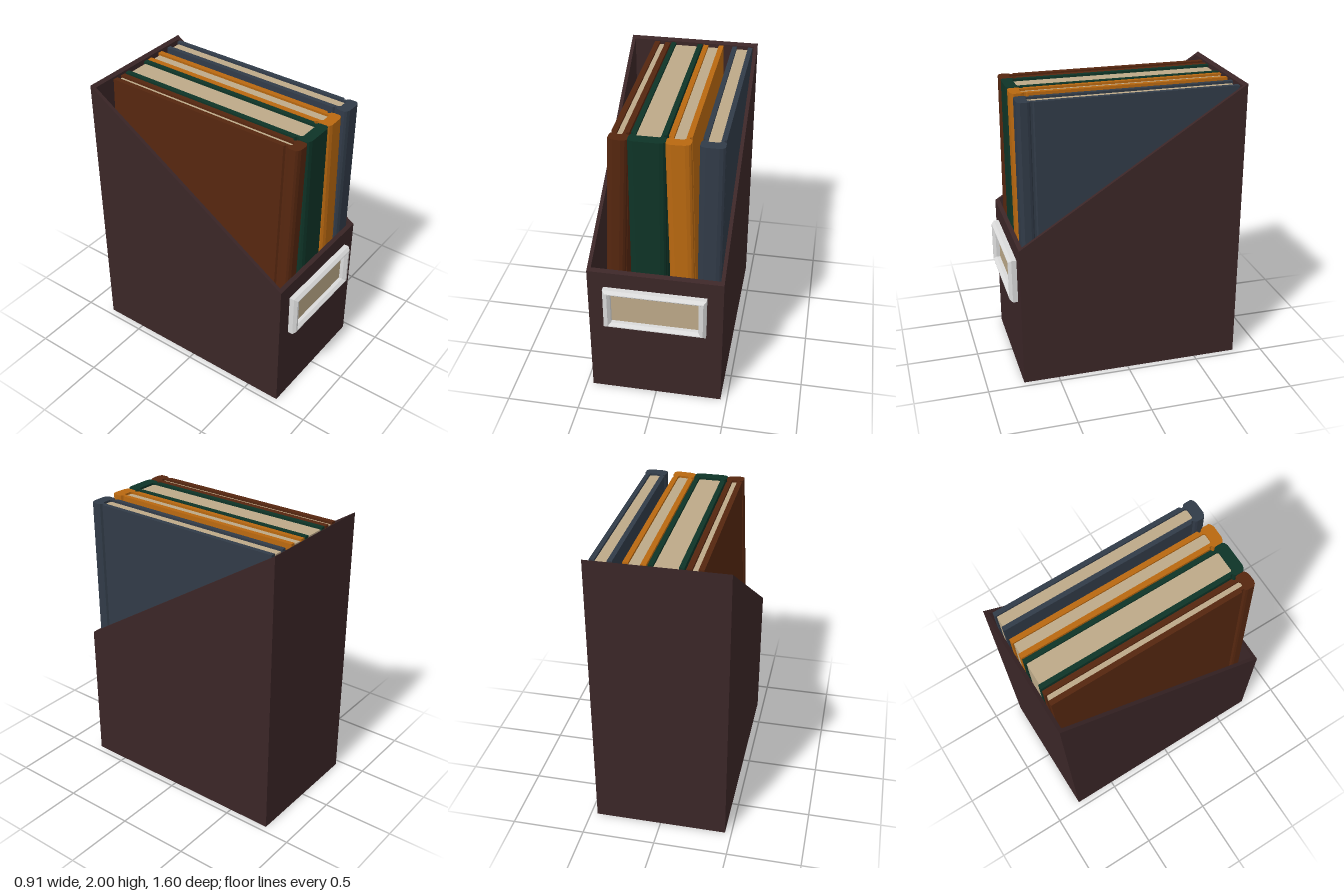
import * as THREE from 'three';

const mat = (name, color, side = THREE.FrontSide) => {
  const m = new THREE.MeshStandardMaterial({ color, side });
  m.name = name;
  return m;
};

const polygon = (points) => new THREE.Shape(points.map(([x, y]) => new THREE.Vector2(x, y)));

function mesh(name, geometry, material) {
  const m = new THREE.Mesh(geometry, material);
  m.name = name;
  return m;
}

// Extrudes a (z, y) profile across x from x0 to x1
function acrossX(points, x0, x1) {
  const g = new THREE.ExtrudeGeometry(polygon(points.map(([z, y]) => [-z, y])), { depth: x1 - x0, bevelEnabled: false });
  return g.rotateY(Math.PI / 2).translate(x0, 0, 0);
}

// Extrudes an (x, z) outline upward from y0 to y1
function upward(points, y0, y1) {
  const g = new THREE.ExtrudeGeometry(polygon(points.map(([x, z]) => [x, -z])), { depth: y1 - y0, bevelEnabled: false });
  return g.rotateX(-Math.PI / 2).translate(0, y0, 0);
}

function createHolder(wood) {
  const holder = new THREE.Group();
  holder.name = 'holder';
  const back = -0.8, front = 0.745, half = 0.455, t = 0.025;
  const slope = (z) => 1 + (front - z) / (front - back);

  // Slanted side walls
  const side = [[back, 0], [front, 0], [front, 1], [back, 2]];
  holder.add(mesh('rightWall', acrossX(side, -half, -half + t), wood));
  holder.add(mesh('leftWall', acrossX(side, half - t, half), wood));

  // Floor, front and back walls in one U profile
  const core = [
    [back, 0], [front, 0], [front, 1], [front - t, slope(front - t)],
    [front - t, t], [back + t, t], [back + t, slope(back + t)], [back, 2],
  ];
  holder.add(mesh('floorFrontBack', acrossX(core, -half + t, half - t), wood));
  return holder;
}

function createBook(name, cover, pages, { width, board, x, lean }) {
  const book = new THREE.Group();
  book.name = name;
  const height = 1.958, h = width / 2, s = h - 0.005, back = -0.755, inner = 0.64;

  // Half outline of the cover: board, hinge groove, rounded spine
  const outside = [
    [s, back], [s, 0.605], [s - 0.014, 0.613], [s - 0.014, 0.627], [s, 0.635],
    [h, 0.65], [h, 0.695], [h - 0.012, 0.707], [h - 0.035, 0.715],
  ];
  const inside = [[h - board - 0.01, inner], [h - board, inner - 0.01], [h - board, back]];
  const flip = (list) => list.map(([a, b]) => [-a, b]).reverse();
  const outline = [...outside, ...flip(outside), ...flip(inside), ...inside];
  book.add(mesh('cover', upward(outline, 0, height), cover));

  // Page block, slightly lower than the cover
  const p = h - board + 0.002;
  const block = [[-p, back + 0.01], [p, back + 0.01], [p, inner + 0.005], [-p, inner + 0.005]];
  book.add(mesh('pages', upward(block, 0.015, height - 0.015), pages));

  book.position.set(x, 0.027, 0);
  book.rotation.z = lean;
  return book;
}

function createLabel(metal, paper) {
  const label = new THREE.Group();
  label.name = 'label';
  const rect = (w, h) => [[-w, -h], [w, -h], [w, h], [-w, h]];
  const bevel = 0.018;

  // Bevelled frame with an opening
  const shape = polygon(rect(0.347 - bevel, 0.155 - bevel));
  shape.holes.push(new THREE.Path(rect(0.296 + bevel, 0.113 + bevel).reverse().map(([x, y]) => new THREE.Vector2(x, y))));
  const frame = new THREE.ExtrudeGeometry(shape, {
    depth: 0.035, bevelEnabled: true, bevelSize: bevel, bevelThickness: 0.02, bevelSegments: 1,
  });
  label.add(mesh('labelFrame', frame, metal));

  // Paper card behind the opening
  const card = mesh('labelCard', new THREE.BoxGeometry(0.61, 0.24, 0.008), paper);
  card.position.z = 0.005;
  label.add(card);

  label.position.set(0, 0.73, 0.745);
  return label;
}

export function createModel() {
  const model = new THREE.Group();
  model.name = 'magazineHolderWithBooks';

  const wood = mat('dark wood', 0x3b2627);
  const paper = mat('cream paper', 0xbda988);
  const metal = mat('silver metal', 0xdadada);
  const brown = mat('brown cover', 0x55260f);
  const green = mat('green cover', 0x0e3427);
  const orange = mat('orange cover', 0xb96810);
  const navy = mat('navy cover', 0x313b48);

  model.add(createHolder(wood));
  model.add(createLabel(metal, paper));

  // Books from right to left, two of them leaning on the green one
  model.add(createBook('brownBook', brown, paper, { width: 0.12, board: 0.041, x: -0.311, lean: -0.0435 }));
  model.add(createBook('greenBook', green, paper, { width: 0.232, board: 0.038, x: -0.049, lean: 0 }));
  model.add(createBook('orangeBook', orange, paper, { width: 0.155, board: 0.04, x: 0.198, lean: 0.0277 }));
  model.add(createBook('navyBook', navy, paper, { width: 0.153, board: 0.037, x: 0.351, lean: 0 }));

  return model;
}
